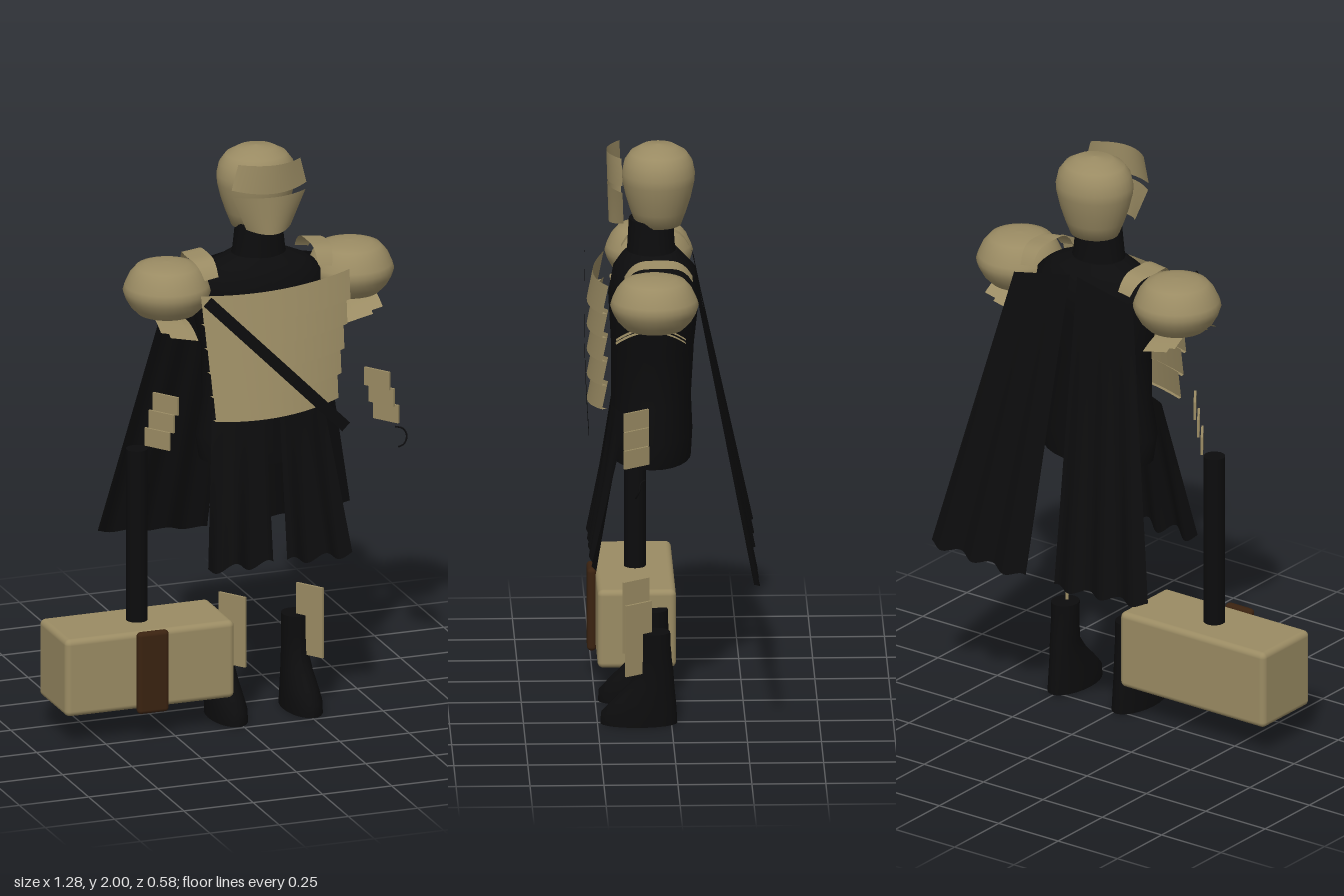
import * as THREE from 'three';
import { ParametricGeometry } from 'three/addons/geometries/ParametricGeometry.js';
import { RoundedBoxGeometry } from 'three/addons/geometries/RoundedBoxGeometry.js';

const CX = 0.12; // middle of the body; the hammer stands off to one side
const lerp = THREE.MathUtils.lerp;

function material(name, color) {
  const m = new THREE.MeshStandardMaterial({ color, side: THREE.DoubleSide });
  m.name = name;
  return m;
}

// Open surface: u runs along x, v runs upward
function sheet(f, nu = 20, nv = 4) {
  return new ParametricGeometry((u, v, p) => p.set(...f(u, v)), nu, nv);
}

// Closed body through elliptical sections [y, rx, rz, cz], listed from the bottom up
function loft(sections, sides = 24) {
  const n = sections.length - 1;
  const g = new THREE.CylinderGeometry(1, 1, n, sides, n);
  const p = g.attributes.position;
  for (let i = 0; i < p.count; i++) {
    const [y, rx, rz, cz] = sections[Math.round(p.getY(i) + n / 2)];
    p.setXYZ(i, p.getX(i) * rx, y, p.getZ(i) * rz + cz);
  }
  g.computeVertexNormals();
  return g;
}

function lathe(points, sides = 32) {
  return new THREE.LatheGeometry(points.map(([r, y]) => new THREE.Vector2(r, y)), sides);
}

export function createModel() {
  const model = new THREE.Group();
  const brass = material('brass', 0x9a8b63);
  const black = material('black', 0x0c0c0d);
  const brown = material('brown leather', 0x3a2210);

  function add(name, geometry, mat, x = 0, y = 0, z = 0) {
    const mesh = new THREE.Mesh(geometry, mat);
    mesh.name = name;
    mesh.position.set(x, y, z);
    model.add(mesh);
    return mesh;
  }

  // Body and neck
  add('torso', loft([
    [0.91, 0.21, 0.135, 0.065], [1.0, 0.225, 0.14, 0.065], [1.12, 0.2, 0.135, 0.065],
    [1.3, 0.2, 0.14, 0.06], [1.48, 0.24, 0.155, 0.055], [1.56, 0.23, 0.14, 0.055],
    [1.6, 0.17, 0.11, 0.06], [1.63, 0.1, 0.085, 0.06],
  ]), black, CX);
  add('neck', loft([[1.58, 0.105, 0.09, 0.06], [1.65, 0.09, 0.08, 0.065], [1.74, 0.08, 0.075, 0.065]]), black, CX);

  // Helmet
  const helmet = add('helmet', lathe([
    [0, 1.72], [0.085, 1.72], [0.105, 1.77], [0.122, 1.82], [0.134, 1.87], [0.136, 1.9],
    [0.127, 1.94], [0.105, 1.97], [0.065, 1.992], [0, 2],
  ]), brass, CX, 0, 0.04);
  helmet.scale.z = 0.91;

  // Two bowed visor plates in front of the helmet
  const visor = (y0, y1, w0, w1, z0, z1) => sheet((u, v) => {
    const s = u * 2 - 1;
    return [CX + s * lerp(w0, w1, v), lerp(y0, y1, v) + 0.012 * s * s * (1 - v),
      lerp(z0, z1, v) - 0.048 * s * s];
  });
  add('lowerVisor', visor(1.73, 1.865, 0.08, 0.132, 0.208, 0.213), brass);
  add('upperVisor', visor(1.878, 1.98, 0.135, 0.112, 0.213, 0.216), brass);

  // Overlapping chest bands, slightly lopsided
  for (let i = 0; i < 5; i++) {
    const top = 1.562 - i * 0.087;
    const half = 0.268 - i * 0.011;
    const band = (name, y0, y1, z0, z1) => add(name, sheet((u, v) => {
      const s = u * 2 - 1;
      return [CX + 0.003 + s * half * (0.985 + 0.015 * v), top + lerp(y0, y1, v) + s * 0.017 - 0.01 * (1 - s * s),
        lerp(z0, z1, v) - 0.045 * s * s];
    }), brass);
    band('chestBand', -0.1, 0, 0.282, 0.262);
    band('chestBandLip', -0.1, -0.098, 0.282, 0.265);
  }

  // Diagonal strap across the chest
  add('chestStrap', sheet((u, v) => {
    const s = u * 2 - 1;
    return [lerp(-0.145, 0.355, u) + (v - 0.5) * 0.028, lerp(1.545, 1.04, u) + (v - 0.5) * 0.028, 0.289 - 0.008 * s * s];
  }, 16, 1), black);

  for (const side of [-1, 1]) {
    const X = (x) => CX + side * x; // x measured from the middle of the body

    // Shoulder guard with collar plate and lower lames
    add('shoulderGuard', lathe([
      [0.1, 1.45], [0.125, 1.475], [0.142, 1.505], [0.15, 1.53], [0.144, 1.55], [0.128, 1.585],
      [0.105, 1.612], [0.075, 1.622], [0.04, 1.628], [0, 1.63],
    ]), brass, X(0.33), 0, 0.063);
    add('shoulderUnderside', new THREE.CircleGeometry(0.1, 32), brass, X(0.33), 1.45, 0.063).rotation.x = Math.PI / 2;
    add('collarPlate', sheet((u, v) => {
      const s = v * 2 - 1;
      return [X(lerp(0.18, 0.255 - 0.025 * s * s, u)), 1.64 - 0.055 * s ** 4 - 0.008 * u, 0.045 + s * 0.115];
    }, 6, 14), brass);
    for (let i = 0; i < 2; i++) {
      add('shoulderLame', sheet((u, v) => {
        const s = v * 2 - 1;
        return [X(lerp(0.3, 0.4, u) - i * 0.035), 1.462 - i * 0.022 - 0.04 * s * s - 0.022 * (1 - u), 0.075 + s * 0.118];
      }, 3, 14), brass);
    }

    // Forearm and shin plates stand diagonally, both sides parallel
    const turn = -Math.atan2(0.085, 0.06);
    for (let i = 0; i < 3; i++) {
      add('forearmPlate', new THREE.BoxGeometry(0.102, 0.064, 0.008), brass,
        side < 0 ? -0.238 - i * 0.015 : 0.525 + i * 0.016, 1.144 - i * 0.061, 0.127).rotation.y = turn;
    }
    add('shinPlate', new THREE.BoxGeometry(0.108, 0.25, 0.009), brass,
      side < 0 ? 0.008 : 0.288, 0.305, 0.112).rotation.y = turn;

    // Boot
    add('boot', loft([
      [0, 0.064, 0.13, 0.11], [0.04, 0.062, 0.128, 0.11], [0.08, 0.057, 0.108, 0.093], [0.13, 0.05, 0.08, 0.07],
      [0.18, 0.045, 0.06, 0.053], [0.25, 0.046, 0.053, 0.055], [0.32, 0.047, 0.052, 0.056],
    ]), black, X(0.135));

    // Rippled cape half
    add('cape', sheet((u, v) => {
      const d = 1 - v;
      const wave = Math.sin(u * Math.PI * 6 + 1);
      return [X(lerp(lerp(0.06, 0.015, v), lerp(0.455, 0.25, v), u)),
        lerp(0.555, 1.6, v) + d * (0.03 * (u - 0.5) + 0.008 * wave) - v * 0.05 * u,
        lerp(-0.28, -0.08, v) + 0.012 * wave * d];
    }, 40, 12), black);

    // Rippled front skirt panel
    add('skirtPanel', sheet((u, v) => {
      const d = 1 - v;
      const wave = Math.sin(u * Math.PI * 4 + 0.5);
      return [X(lerp(0.025, lerp(0.26, 0.2, v), u)),
        lerp(0.58, 1.1, v) + 0.018 * wave * d,
        lerp(0.268, 0.2, v) + 0.012 * wave * d - 0.05 * u * u * v];
    }, 30, 8), black);
  }

  // Loose glove trim beside the left hand
  const trim = [[0.6, 0.955, 0.1], [0.622, 0.95, 0.115], [0.634, 0.925, 0.12], [0.62, 0.9, 0.13], [0.6, 0.892, 0.13]];
  add('gloveTrim', new THREE.TubeGeometry(
    new THREE.CatmullRomCurve3(trim.map((p) => new THREE.Vector3(...p))), 16, 0.003, 6), black);

  // Great hammer standing on the right
  add('hammerHead', new RoundedBoxGeometry(0.61, 0.275, 0.265, 4, 0.02), brass, -0.335, 0.243, 0.108);
  add('hammerBand', new RoundedBoxGeometry(0.112, 0.29, 0.031, 4, 0.014), brown, -0.333, 0.24, 0.253);
  add('hammerShaft', new THREE.CylinderGeometry(0.037, 0.037, 0.63, 16), black, -0.335, 0.675, 0.106);

  return model;
}
